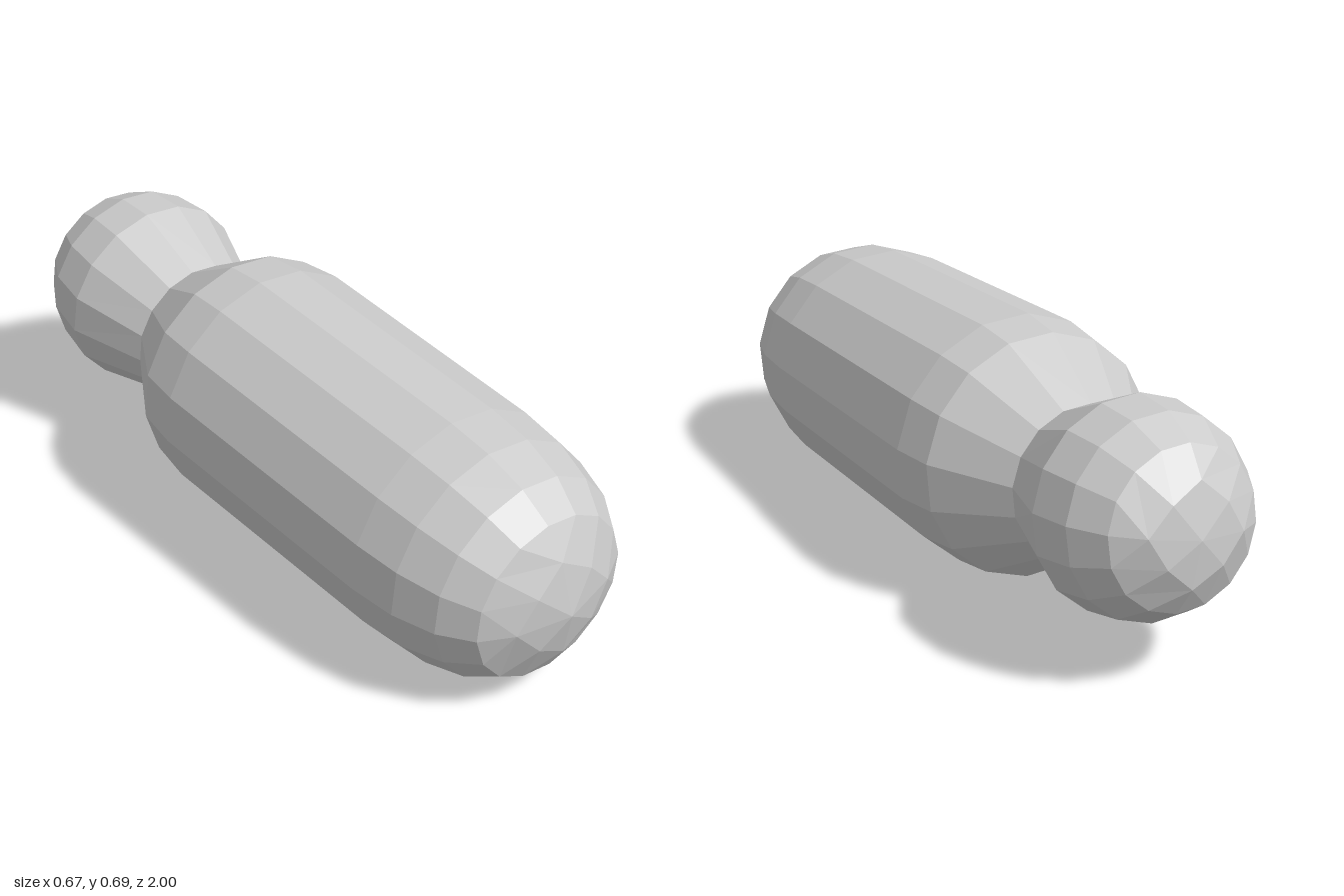
import * as THREE from 'three';

const SIDES = 16;

// A ring of points around the long axis, leaning by tilt; step allows coarser rings.
function ring({ z, y, r, tilt }, count = SIDES) {
  return Array.from({ length: count }, (_, i) => {
    const a = THREE.MathUtils.degToRad(7.5 + (360 / count) * i);
    const t = THREE.MathUtils.degToRad(tilt);
    const up = r * Math.sin(a);
    return new THREE.Vector3(r * Math.cos(a), y + up * Math.cos(t), z + up * Math.sin(t));
  });
}

// Inner ring of a cap: corners sit farther out than the points between them.
function capRing(corner, middle) {
  const c = ring(corner, 8), m = ring(middle, 8);
  return c.map((p, i) => (i % 2 ? m[i] : p));
}

function makeShell() {
  const pos = [];
  const quad = (a, b, c, d, flip = false) => {
    const order = flip ? [a, c, b, a, d, c] : [a, b, c, a, c, d];
    order.forEach((p) => pos.push(p.x, p.y, p.z));
  };
  return {
    // Bands between neighbouring rings, from front to back
    loft(rings) {
      for (let k = 0; k + 1 < rings.length; k++) {
        const a = rings[k], b = rings[k + 1];
        for (let i = 0; i < SIDES; i++) {
          const j = (i + 1) % SIDES;
          quad(a[i], b[i], b[j], a[j]);
        }
      }
    },
    // Rounded end closed with a four by four grid of quads
    cap(edge, inner, tip, flip) {
      const e = (i) => edge[(i + SIDES) % SIDES];
      const n = (i) => inner[(i + 8) % 8];
      for (let j = 0; j < 4; j++) {
        const b = 4 * j, c = 2 * j;
        quad(n(c), e(b - 1), e(b), e(b + 1), flip);
        quad(n(c), e(b + 1), e(b + 2), n(c + 1), flip);
        quad(n(c + 1), e(b + 2), e(b + 3), n(c + 2), flip);
        quad(tip, n(c - 1), n(c), n(c + 1), flip);
      }
    },
    mesh(name) {
      const geo = new THREE.BufferGeometry();
      geo.setAttribute('position', new THREE.Float32BufferAttribute(pos, 3));
      geo.computeVertexNormals();
      const mesh = new THREE.Mesh(
        geo,
        new THREE.MeshStandardMaterial({ color: 0xcccccc, flatShading: true })
      );
      mesh.name = name;
      return mesh;
    },
  };
}

export function createModel() {
  const group = new THREE.Group();
  group.name = 'pegFigure';

  // Shared neck ring
  const neck = ring({ z: -0.493, y: 0.372, r: 0.197, tilt: 3.7 });

  // Body: long, slightly widening barrel with a domed front end
  const onBody = (z, r) => ({ z, r, y: 0.35 - 0.043 * z, tilt: 2.5 });
  const bodyRings = [
    [0.92, 0.222], [0.835, 0.277], [0.72, 0.311], [0.59, 0.324], [-0.16, 0.336], [-0.285, 0.32],
  ].map(([z, r]) => ring(onBody(z, r)));
  const body = makeShell();
  body.loft([...bodyRings, neck]);
  body.cap(
    bodyRings[0],
    capRing(onBody(0.968, 0.142), onBody(0.977, 0.115)),
    new THREE.Vector3(0, 0.302, 1),
    false
  );
  group.add(body.mesh('body'));

  // Head: ball tipped slightly upward behind the neck
  const onHead = (z, r) => ({ z, r, y: 0.315 - 0.118 * z, tilt: 6.8 });
  const headRings = [
    [-0.71, 0.268], [-0.83, 0.252], [-0.924, 0.2],
  ].map(([z, r]) => ring(onHead(z, r)));
  const head = makeShell();
  head.loft([neck, ...headRings]);
  head.cap(
    headRings[2],
    capRing(onHead(-0.978, 0.128), onHead(-0.985, 0.105)),
    new THREE.Vector3(0, 0.425, -1),
    true
  );
  group.add(head.mesh('head'));

  return group;
}
